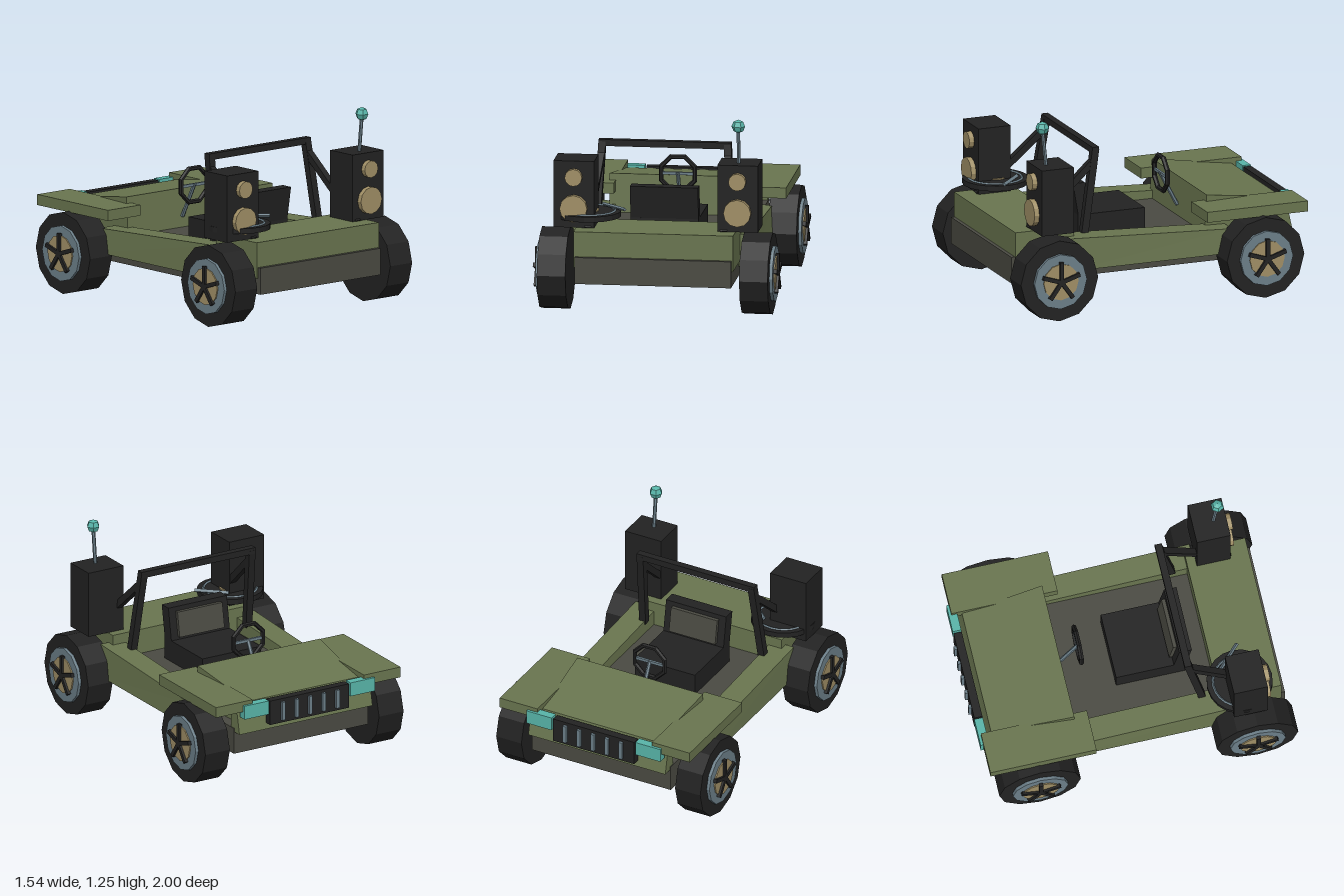
import * as THREE from 'three';

const flat = (name, color) => {
  const m = new THREE.MeshStandardMaterial({ color });
  m.name = name;
  m.flatShading = true;
  return m;
};

export function createModel() {
  const green = flat('olive green', 0x69754f);
  const black = flat('black', 0x222222);
  const grey = flat('dark grey', 0x4a4a42);
  const steel = flat('blue grey', 0x6c7f89);
  const tan = flat('tan', 0xa08f66);
  const teal = flat('teal', 0x58b5a9);

  const model = new THREE.Group();
  model.name = 'buggy';

  const add = (name, geo, mat, parent = model) => {
    const mesh = new THREE.Mesh(geo, mat);
    mesh.name = name;
    parent.add(mesh);
    return mesh;
  };
  // box given by its lower and upper limits
  const box = (name, mat, x0, x1, y0, y1, z0, z1, parent) => {
    const geo = new THREE.BoxGeometry(x1 - x0, y1 - y0, z1 - z0);
    geo.translate((x0 + x1) / 2, (y0 + y1) / 2, (z0 + z1) / 2);
    return add(name, geo, mat, parent);
  };
  // box whose corners are placed by rule(isRight, isTop, isFront) -> [x, y, z]
  const shaped = (name, mat, rule) => {
    const geo = new THREE.BoxGeometry(1, 1, 1);
    const p = geo.attributes.position;
    for (let i = 0; i < p.count; i++) {
      p.setXYZ(i, ...rule(p.getX(i) > 0, p.getY(i) > 0, p.getZ(i) > 0));
    }
    geo.computeVertexNormals();
    return add(name, geo, mat);
  };
  // straight bar between two points
  const bar = (name, mat, a, b, geoFor) => {
    const from = new THREE.Vector3(...a), to = new THREE.Vector3(...b);
    const mesh = add(name, geoFor(from.distanceTo(to)), mat);
    mesh.position.copy(from).add(to).multiplyScalar(0.5);
    mesh.quaternion.setFromUnitVectors(new THREE.Vector3(0, 1, 0), to.sub(from).normalize());
    return mesh;
  };
  const square = (w, d = w) => (len) => new THREE.BoxGeometry(w, len, d);
  const round = (r, n = 6) => (len) => new THREE.CylinderGeometry(r, r, len, n);

  // chassis, rear deck
  box('chassis', grey, -0.495, 0.495, 0.21, 0.38, -0.88, 0.97);
  box('rearDeck', green, -0.505, 0.505, 0.31, 0.54, 0.55, 0.945);

  // hood wedge and the sloping panel under it
  shaped('hood', green, (r, t, f) => {
    const x = (r ? 1 : -1) * (f ? 0.45 : 0.41);
    return f ? [x, t ? 0.628 : 0.36, t ? -0.375 : -0.36] : [x, t ? 0.55 : 0.36, t ? -0.9 : -0.935];
  });
  shaped('nosePanel', green, (r, t, f) =>
    [r ? 0.49 : -0.49, t ? 0.54 : 0.355, f ? -0.84 : t ? -0.9 : -0.94]);

  // grille, bars and lamps
  box('grille', black, -0.29, 0.29, 0.395, 0.555, -0.982, -0.93);
  for (let i = -2; i <= 2; i++) {
    box('grilleBar', steel, i * 0.1 - 0.012, i * 0.1 + 0.012, 0.415, 0.535, -1, -0.975);
  }

  for (const s of [-1, 1]) {
    const side = (a, b) => (s > 0 ? [a, b] : [-b, -a]);

    box('headlamp', teal, ...side(0.3, 0.48), 0.47, 0.56, -0.985, -0.93);
    box('fender', green, ...side(0.41, 0.68), 0.517, 0.585, -0.968, -0.285);
    shaped('sill', green, (r, t, f) => {
      const outer = r === (s > 0);
      return [s * (outer ? (t ? 0.565 : 0.578) : 0.41), t ? (f ? 0.478 : 0.425) : 0.27, f ? 0.6 : -0.5];
    });

    // roll bar post and brace
    bar('rollBarPost', black, [s * 0.425, 0.45, 0.452], [s * 0.397, 1.0, 0.365], square(0.046));
    bar('rollBarBrace', black, [s * 0.43, 0.53, 0.82], [s * 0.4, 0.93, 0.37], square(0.042));

    // speaker cabinet with two cones
    const speaker = new THREE.Group();
    speaker.name = 'speaker';
    model.add(speaker);
    box('cabinet', black, ...side(0.39, 0.647), 0.54, 0.967, 0.608, 0.825, speaker);
    for (const [y, r] of [[0.865, 0.055], [0.665, 0.087]]) {
      const cone = add('speakerCone', new THREE.CylinderGeometry(r, r, 0.04, 12), tan, speaker);
      cone.rotation.x = Math.PI / 2;
      cone.position.set(s * 0.518, y, 0.837);
    }

    // wheels
    for (const z of [0.74, -0.66]) {
      const wheel = new THREE.Group();
      wheel.name = 'wheel';
      wheel.position.set(0, 0.262, z);
      model.add(wheel);
      const disc = (name, mat, r, a, b) => {
        const geo = new THREE.CylinderGeometry(r, r, b - a, 12).rotateZ(Math.PI / 2);
        add(name, geo, mat, wheel).position.x = (s * (a + b)) / 2;
      };
      disc('tyre', black, 0.262, 0.55, 0.73);
      disc('rim', steel, 0.178, 0.7, 0.75);
      disc('hubPlate', tan, 0.118, 0.74, 0.758);
      for (let i = 0; i < 5; i++) {
        const geo = new THREE.BoxGeometry(0.025, 0.13, 0.026).translate(0, 0.065, 0);
        const spoke = add('spoke', geo, black, wheel);
        spoke.position.x = s * 0.76;
        spoke.rotation.x = (i * 2 * Math.PI) / 5;
      }
    }
  }
  box('rollBarTop', black, -0.42, 0.42, 0.972, 1.013, 0.343, 0.388);

  // seat with reclined back and padded panel
  box('seatCushion', black, -0.215, 0.215, 0.38, 0.52, -0.052, 0.4);
  const back = (name, mat, w, y0, y1, d0, d1) => shaped(name, mat, (r, t, f) => {
    const y = t ? y1 : y0;
    return [r ? w : -w, y, (f ? d1 : d0) + (y - 0.45) * 0.17];
  });
  back('seatBack', black, 0.215, 0.42, 0.728, 0.308, 0.388);
  back('seatPad', grey, 0.165, 0.54, 0.7, 0.285, 0.31);

  // steering wheel and column
  const ring = add('steeringWheel', new THREE.TorusGeometry(0.115, 0.016, 6, 8), black);
  ring.rotation.z = Math.PI / 8;
  ring.position.set(0, 0.667, -0.25);
  box('steeringSpoke', steel, -0.1, 0.1, 0.658, 0.676, -0.258, -0.242);
  bar('steeringColumn', steel, [0, 0.45, -0.36], [0, 0.672, -0.245], round(0.013));

  // turntable: platter, ring, label and arm
  const table = new THREE.Group();
  table.name = 'turntable';
  table.position.set(-0.445, 0, 0.69);
  model.add(table);
  add('platter', new THREE.CylinderGeometry(0.208, 0.208, 0.034, 20), black, table).position.y = 0.607;
  add('platterRing', new THREE.TorusGeometry(0.168, 0.008, 4, 24).rotateX(Math.PI / 2), steel, table).position.y = 0.625;
  add('label', new THREE.CylinderGeometry(0.07, 0.07, 0.01, 12), tan, table).position.y = 0.627;
  bar('toneArm', steel, [-0.365, 0.643, 0.575], [-0.208, 0.643, 0.727], square(0.02, 0.014));

  // antenna
  bar('antenna', steel, [0.515, 0.515, 0.695], [0.515, 1.19, 0.767], round(0.012));
  add('antennaTip', new THREE.SphereGeometry(0.043, 6, 4), teal).position.set(0.515, 1.207, 0.768);

  return model;
}
